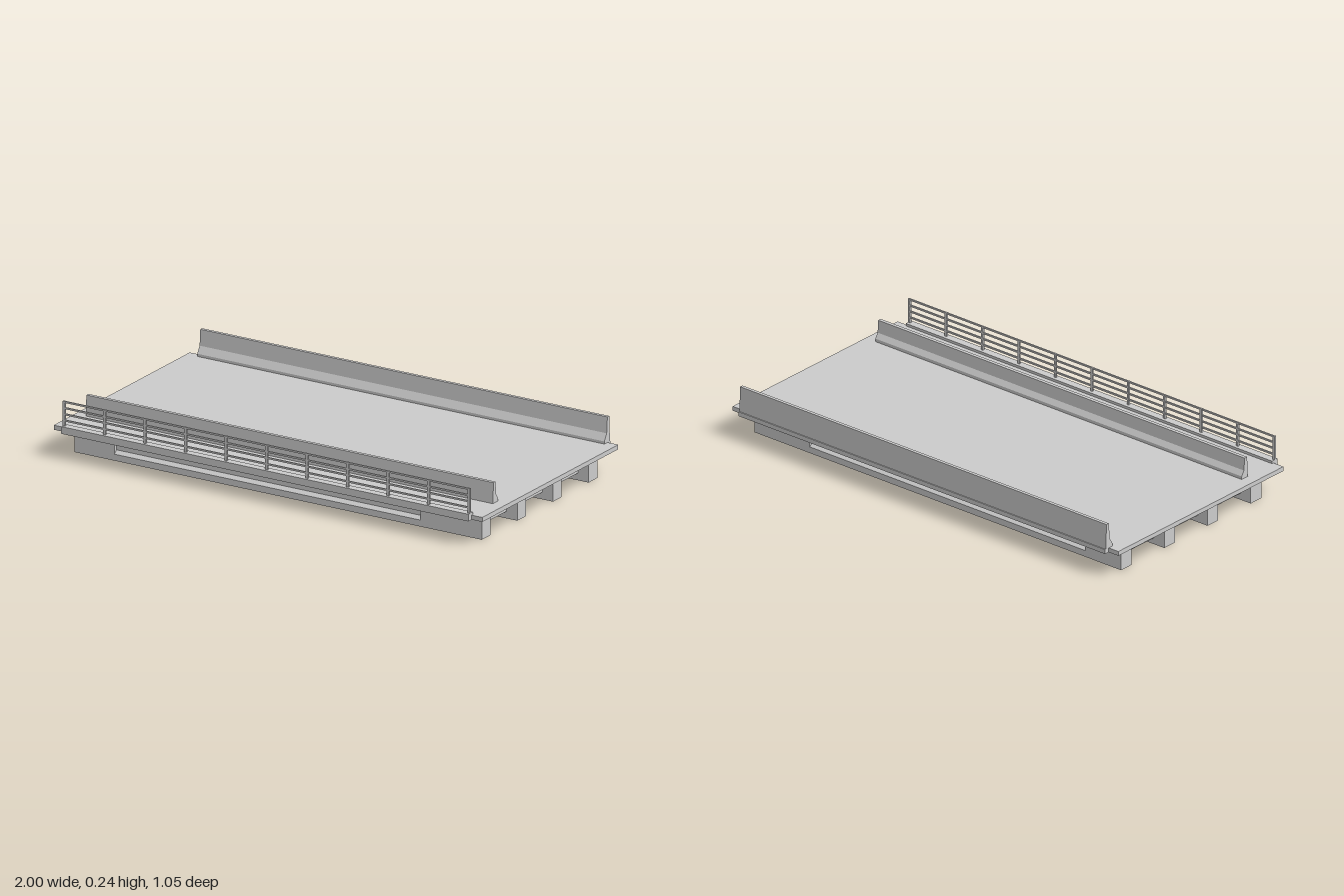
import * as THREE from 'three';

const material = new THREE.MeshStandardMaterial({ color: 0xcccccc, flatShading: true });

function add(parent, geometry, name) {
  const mesh = new THREE.Mesh(geometry, material);
  mesh.name = name;
  parent.add(mesh);
  return mesh;
}

function box(parent, name, x0, x1, y0, y1, z0, z1) {
  const mesh = add(parent, new THREE.BoxGeometry(x1 - x0, y1 - y0, z1 - z0), name);
  mesh.position.set((x0 + x1) / 2, (y0 + y1) / 2, (z0 + z1) / 2);
  return mesh;
}

// Sweeps a [z, y] section along x from x0 to x1
function sweep(parent, name, section, x0, x1) {
  const shape = new THREE.Shape(section.map(([z, y]) => new THREE.Vector2(-z, y)));
  const geometry = new THREE.ExtrudeGeometry(shape, { depth: x1 - x0, bevelEnabled: false });
  geometry.rotateY(Math.PI / 2).translate(x0, 0, 0);
  return add(parent, geometry, name);
}

// Completes a half section symmetrically about z = 0
const mirrored = (half) => [...half, ...half.map(([z, y]) => [-z, y]).reverse()];

const HALF = 0.95;          // half length of girders and barriers
const DECK_BOTTOM = 0.107;
const DECK_TOP = 0.126;

export function createModel() {
  const model = new THREE.Group();
  model.name = 'bridgeSpan';

  box(model, 'deck', -1, 1, DECK_BOTTOM, DECK_TOP, -0.5, 0.5);

  // Girders: solid end blocks, thinner web between them
  const solid = mirrored([[0.032, 0], [0.032, 0.084], [0.056, 0.094], [0.056, DECK_BOTTOM]]);
  const thin = mirrored([
    [0.032, 0], [0.032, 0.027], [0.015, 0.04], [0.015, 0.077],
    [0.032, 0.084], [0.056, 0.094], [0.056, DECK_BOTTOM],
  ]);
  const girderZ = [-0.393, -0.131, 0.131, 0.393];
  for (const z of girderZ) {
    const girder = new THREE.Group();
    girder.name = 'girder';
    girder.position.z = z;
    sweep(girder, 'girderEnd', solid, -HALF, -0.765);
    sweep(girder, 'girderWeb', thin, -0.765, 0.665);
    sweep(girder, 'girderEnd', solid, 0.665, HALF);
    model.add(girder);
  }

  // Cross beams joining neighbouring girders at both ends and midspan
  for (let i = 0; i < 3; i++) {
    for (const x of [-0.875, 0, 0.875]) {
      box(model, 'crossBeam', x - 0.025, x + 0.025, 0.03, DECK_BOTTOM,
        girderZ[i] + 0.014, girderZ[i + 1] - 0.014);
    }
  }

  // Edge barrier at the back, lapping over the deck edge
  sweep(model, 'edgeBarrier', [
    [-0.477, DECK_TOP], [-0.477, 0.137], [-0.494, 0.166], [-0.499, 0.233], [-0.513, 0.233],
    [-0.518, DECK_TOP], [-0.522, DECK_TOP], [-0.522, DECK_BOTTOM], [-0.5, DECK_BOTTOM], [-0.5, DECK_TOP],
  ], -HALF, HALF);

  // Barrier between roadway and walkway
  sweep(model, 'walkwayBarrier', [
    [0.306, DECK_TOP], [0.306, 0.139], [0.32, 0.16], [0.324, 0.213], [0.339, 0.213], [0.343, DECK_TOP],
  ], -HALF, HALF);

  // Curb carrying the railing
  sweep(model, 'curb', [
    [0.491, DECK_TOP], [0.491, 0.137], [0.524, 0.137], [0.524, DECK_BOTTOM],
    [0.5, DECK_BOTTOM], [0.5, DECK_TOP],
  ], -HALF, HALF);

  // Railing: evenly spaced posts and four rails
  const railing = new THREE.Group();
  railing.name = 'railing';
  for (let i = 0; i <= 10; i++) {
    const x = -0.945 + i * 0.189;
    box(railing, 'railingPost', x - 0.005, x + 0.005, 0.137, 0.241, 0.505, 0.513);
  }
  for (let i = 0; i < 4; i++) {
    const top = 0.241 - i * 0.026;
    box(railing, 'rail', -HALF, HALF, top - 0.007, top, 0.506, 0.512);
  }
  model.add(railing);

  return model;
}
